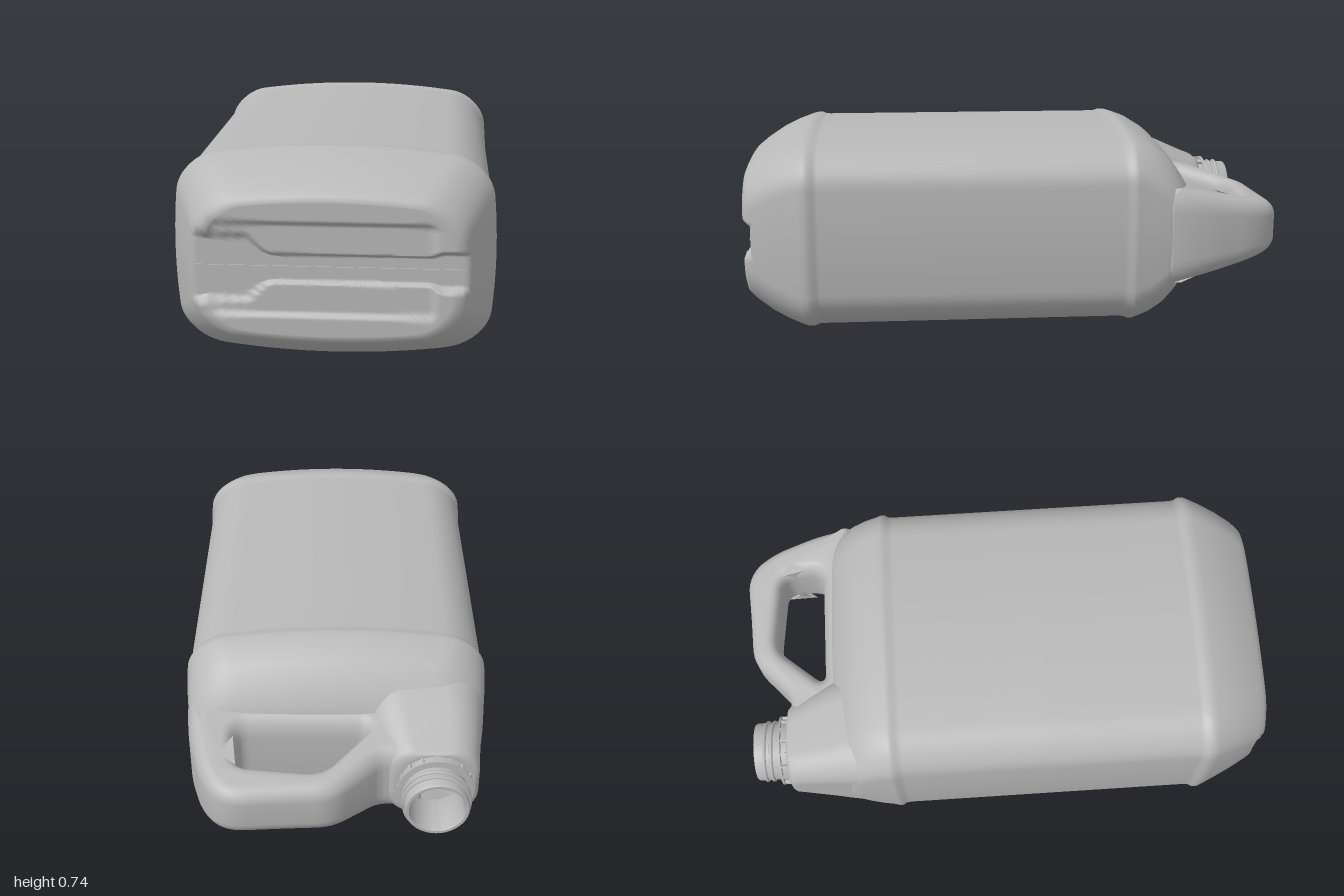
import * as THREE from 'three';
import { toCreasedNormals } from 'three/addons/utils/BufferGeometryUtils.js';

const MID = 0.37; // height of the can's long axis

// Rounded rectangle with gently bowed sides, counter-clockwise seen from +z
function section(a, b, r, bowX, bowY, side, arc) {
  const pts = [];
  const corners = [[1, -1], [1, 1], [-1, 1], [-1, -1]];
  corners.forEach(([sx, sy], c) => {
    const cx = sx * (a - r), cy = sy * (b - r), start = (c - 1) * Math.PI / 2;
    for (let i = 0; i <= arc; i++) {
      const t = start + (i / arc) * Math.PI / 2;
      pts.push([cx + r * Math.cos(t), cy + r * Math.sin(t)]);
    }
    const [nx, ny] = corners[(c + 1) % 4];
    const from = pts[pts.length - 1], e = start + Math.PI / 2;
    const to = [nx * (a - r) + r * Math.cos(e), ny * (b - r) + r * Math.sin(e)];
    for (let i = 1; i < side; i++) {
      const t = i / side;
      pts.push([from[0] + (to[0] - from[0]) * t, from[1] + (to[1] - from[1]) * t]);
    }
  });
  return pts.map(([x, y]) => [x * (1 - bowX * (y / b) ** 2), y * (1 - bowY * (x / a) ** 2)]);
}

// Skin over rings of points ordered from high z to low z
function loft(rings) {
  const n = rings[0].length, index = [];
  for (let k = 0; k < rings.length - 1; k++) {
    for (let i = 0; i < n; i++) {
      const j = (i + 1) % n, A = k * n + i, B = k * n + j;
      index.push(A, A + n, B, B, A + n, B + n);
    }
  }
  const geo = new THREE.BufferGeometry();
  geo.setAttribute('position', new THREE.Float32BufferAttribute(rings.flat(2), 3));
  geo.setIndex(index);
  geo.computeVertexNormals();
  return geo;
}

// Closed outline with every corner rounded; points are [x, distance along -z, radius]
function roundedPath(path, pts) {
  pts.forEach(([x, y, r], i) => {
    const p = new THREE.Vector2(x, y);
    const toward = ([qx, qy]) => new THREE.Vector2(qx, qy).sub(p).setLength(r).add(p);
    const p0 = toward(pts[(i + pts.length - 1) % pts.length]);
    const p1 = toward(pts[(i + 1) % pts.length]);
    if (i === 0) path.moveTo(p0.x, p0.y); else path.lineTo(p0.x, p0.y);
    path.quadraticCurveTo(x, y, p1.x, p1.y);
  });
  path.closePath();
  return path;
}

// Depth of the channel and stepped pockets moulded into the base
function baseDepth(x, y) {
  const step = THREE.MathUtils.smoothstep, Y = Math.abs(y);
  const half = 0.115 - 0.063 * step(x, -0.29, -0.19) + 0.012 * step(x, 0.33, 0.38);
  const channel = 0.03 * (1 - step(Y, half - 0.011, half + 0.011));
  const pocket = 0.015 * (1 - step(Y, 0.148, 0.168)) * step(x, -0.41, -0.385) * (1 - step(x, 0.335, 0.36));
  return Math.max(channel, pocket);
}

function bodyGeometry() {
  // z, half width, half height, corner radius
  const stations = [
    [1, 0.42, 0.235, 0.12], [0.994, 0.44, 0.25, 0.125], [0.98, 0.455, 0.262, 0.13], [0.96, 0.468, 0.278, 0.13],
    [0.9, 0.498, 0.318, 0.13], [0.84, 0.525, 0.347, 0.13], [0.79, 0.547, 0.365, 0.13], [0.77, 0.555, 0.37, 0.13],
    [0.75, 0.554, 0.37, 0.13], [0.735, 0.546, 0.364, 0.13], [0.72, 0.544, 0.363, 0.13], [0.15, 0.544, 0.363, 0.13],
    [-0.39, 0.544, 0.363, 0.13], [-0.41, 0.546, 0.365, 0.13], [-0.425, 0.554, 0.37, 0.13], [-0.44, 0.553, 0.37, 0.13],
    [-0.46, 0.549, 0.364, 0.135], [-0.5, 0.545, 0.349, 0.14], [-0.55, 0.539, 0.318, 0.15], [-0.59, 0.532, 0.275, 0.15],
    [-0.62, 0.52, 0.23, 0.14], [-0.64, 0.502, 0.195, 0.13], [-0.655, 0.47, 0.16, 0.11], [-0.66, 0.43, 0.13, 0.1],
  ];
  const ring = ([z, a, b, r], s = 1) => section(a, b, r, 0.045, 0.13, 44, 10).map(([x, y]) =>
    [x * s, y * s + MID, z > 0.9 ? Math.min(z, 1 - baseDepth(x * s, y * s)) : z]);
  const rings = [];
  for (let i = 0; i < 40; i++) rings.push(ring(stations[0], i / 40)); // base
  stations.forEach(st => rings.push(ring(st)));
  rings.push(ring(stations[stations.length - 1], 0)); // shoulder top
  return loft(rings);
}

function neckBaseGeometry() {
  // z, centre x, half width, half height, corner radius
  return loft([
    [-0.56, -0.315, 0.215, 0.26, 0.14], [-0.62, -0.315, 0.208, 0.235, 0.13], [-0.66, -0.317, 0.2, 0.215, 0.12],
    [-0.8, -0.337, 0.165, 0.152, 0.1], [-0.825, -0.34, 0.16, 0.143, 0.1], [-0.838, -0.342, 0.15, 0.136, 0.1],
    [-0.842, -0.345, 0.135, 0.13, 0.12], [-0.842, -0.345, 0.1, 0.1, 0.0999],
  ].map(([z, cx, a, b, r]) => section(a, b, r, 0, 0, 4, 10).map(([x, y]) => [x + cx, y + MID, z])));
}

function handleGeometry() {
  const shape = roundedPath(new THREE.Shape(), [
    [-0.3, 0.56, 0.01], [-0.3, 0.83, 0.01], [-0.155, 0.83, 0.03], [0.01, 0.98, 0.06], [0.2, 0.99, 0.05],
    [0.4, 1.005, 0.09], [0.475, 0.88, 0.05], [0.52, 0.72, 0.05], [0.54, 0.56, 0.02],
  ]);
  shape.holes.push(roundedPath(new THREE.Path(), [
    [-0.12, 0.69, 0.05], [0.355, 0.69, 0.05], [0.358, 0.78, 0.03], [0.35, 0.855, 0.05], [0.05, 0.885, 0.06],
  ]));
  const bevel = 0.045;
  const geo = new THREE.ExtrudeGeometry(shape, {
    depth: 1, bevelThickness: 0.5, bevelSize: bevel, bevelOffset: -bevel, bevelSegments: 6, curveSegments: 8,
  });
  geo.translate(0, 0, -0.5);
  geo.rotateX(-Math.PI / 2);
  // Thin the grip toward its far end
  const p = geo.attributes.position;
  for (let i = 0; i < p.count; i++) {
    const half = 0.17 - 0.22 * (-p.getZ(i) - 0.63);
    p.setY(i, MID + p.getY(i) * half);
  }
  return toCreasedNormals(geo, 0.7);
}

export function createModel() {
  const model = new THREE.Group();
  const plastic = new THREE.MeshStandardMaterial({ color: 0xb8b8b8, side: THREE.DoubleSide });
  plastic.name = 'grey plastic';
  const add = (name, geo, parent = model) => {
    const mesh = new THREE.Mesh(geo, plastic);
    mesh.name = name;
    parent.add(mesh);
    return mesh;
  };

  add('body', bodyGeometry());
  add('neckBase', neckBaseGeometry());
  add('handle', handleGeometry());

  // Mould seam across the base channel
  add('baseSeam', new THREE.BoxGeometry(0.9, 0.006, 0.008)).position.set(0, MID + 0.003, 0.97);

  // Open spout, built along its own y axis and turned to point to -z
  const spout = new THREE.Group();
  spout.name = 'spout';
  spout.position.set(-0.345, MID, -0.83);
  spout.rotation.x = -Math.PI / 2;
  model.add(spout);
  const profile = [
    [0.1, 0], [0.128, 0], [0.128, 0.012], [0.122, 0.016], [0.122, 0.036], [0.134, 0.038], [0.134, 0.046],
    [0.112, 0.048], [0.112, 0.136], [0.108, 0.142], [0.098, 0.142], [0.095, 0.136], [0.095, 0], [0.1, -0.02],
  ].map(([x, y]) => new THREE.Vector2(x, y));
  add('neckTube', toCreasedNormals(new THREE.LatheGeometry(profile, 64), 0.6), spout);

  // Locking teeth round the collar
  for (let i = 0; i < 16; i++) {
    const t = i / 16 * Math.PI * 2;
    const tooth = add('collarTooth', new THREE.BoxGeometry(0.014, 0.034, 0.01), spout);
    tooth.position.set(0.126 * Math.cos(t), 0.026, 0.126 * Math.sin(t));
    tooth.rotation.y = -t;
  }

  // Screw thread
  const helix = [];
  for (let i = 0; i <= 72; i++) {
    const t = i / 72 * Math.PI * 4;
    helix.push(new THREE.Vector3(0.113 * Math.cos(t), 0.068 + 0.052 * i / 72, 0.113 * Math.sin(t)));
  }
  add('thread', new THREE.TubeGeometry(new THREE.CatmullRomCurve3(helix), 140, 0.007, 8), spout);

  return model;
}
